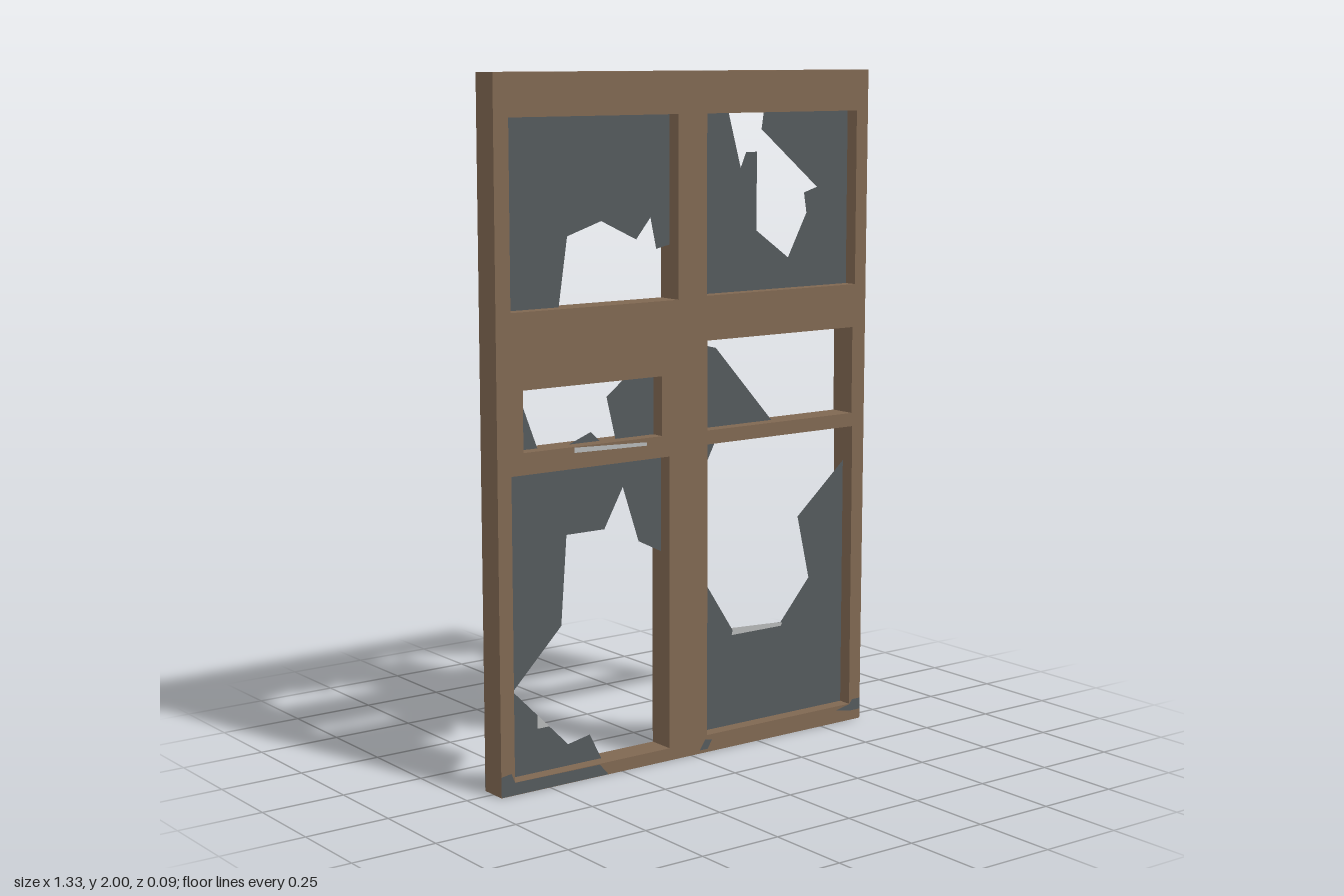
import * as THREE from 'three';

const wood = new THREE.MeshStandardMaterial({ color: 0x7f6751 });
wood.name = 'brown wood';
const glass = new THREE.MeshStandardMaterial({ color: 0x54595c, side: THREE.DoubleSide });
glass.name = 'dark glass';
const chip = new THREE.MeshStandardMaterial({ color: 0xb4b6b6, side: THREE.DoubleSide });
chip.name = 'pale chipped edge';

const DEPTH = 0.084;

const toShape = (pts) => new THREE.Shape(pts.map(([x, y]) => new THREE.Vector2(x, y)));

function flat(name, pts, material, z = 0) {
  const mesh = new THREE.Mesh(new THREE.ShapeGeometry(toShape(pts)), material);
  mesh.name = name;
  mesh.position.z = z;
  return mesh;
}

export function createModel() {
  const model = new THREE.Group();
  model.name = 'brokenWindow';

  // Wooden frame with six uneven openings
  const outline = toShape([[-0.663, 0], [0.657, 0], [0.662, 2], [-0.663, 2]]);
  const openings = [
    [-0.615, 1.355, -0.047, 1.88], [0.055, 1.36, 0.618, 1.88],
    [-0.578, 0.967, -0.106, 1.14], [0.058, 0.967, 0.61, 1.23],
    [-0.618, 0.037, -0.08, 0.905], [0.058, 0.052, 0.614, 0.926],
  ];
  for (const [x0, y0, x1, y1] of openings) {
    outline.holes.push(toShape([[x0, y0], [x0, y1], [x1, y1], [x1, y0]]));
  }
  const frame = new THREE.Mesh(
    new THREE.ExtrudeGeometry(outline, { depth: DEPTH, bevelEnabled: false }), wood);
  frame.name = 'frame';
  frame.position.z = -DEPTH / 2;
  model.add(frame);

  // Broken panes, set in the middle of the frame depth
  const shards = {
    upperRightPane: [[-0.615, 1.355], [-0.43, 1.355], [-0.4, 1.55], [-0.285, 1.587], [-0.165, 1.53],
      [-0.115, 1.59], [-0.095, 1.5], [-0.047, 1.51], [-0.047, 1.88], [-0.615, 1.88]],
    upperLeftPane: [[0.055, 1.36], [0.618, 1.36], [0.618, 1.88], [0.295, 1.88], [0.287, 1.83],
      [0.5, 1.655], [0.45, 1.64], [0.46, 1.58], [0.39, 1.45], [0.27, 1.535], [0.27, 1.765],
      [0.23, 1.765], [0.21, 1.72], [0.165, 1.88], [0.055, 1.88]],
    middleRightSliver: [[-0.578, 0.967], [-0.505, 0.967], [-0.572, 1.14], [-0.578, 1.14]],
    middleRightShard: [[-0.24, 0.967], [-0.106, 0.967], [-0.106, 1.14], [-0.205, 1.14], [-0.27, 1.09]],
    middleRightChip: [[-0.4, 0.967], [-0.295, 0.967], [-0.325, 0.995]],
    middleLeftShard: [[0.058, 0.967], [0.33, 0.967], [0.12, 1.2], [0.058, 1.215]],
    lowerRightPane: [[-0.618, 0.037], [-0.295, 0.037], [-0.335, 0.115], [-0.41, 0.1], [-0.595, 0.285],
      [-0.43, 0.45], [-0.41, 0.71], [-0.28, 0.71], [-0.215, 0.825], [-0.16, 0.66], [-0.08, 0.62],
      [-0.08, 0.905], [-0.618, 0.905]],
    lowerLeftPane: [[0.058, 0.052], [0.614, 0.052], [0.614, 0.815], [0.435, 0.66], [0.48, 0.465],
      [0.37, 0.34], [0.185, 0.345], [0.058, 0.54]],
    lowerLeftChip: [[0.058, 0.926], [0.09, 0.87], [0.12, 0.926]],
  };
  for (const [name, pts] of Object.entries(shards)) model.add(flat(name, pts, glass));

  // Pale broken edges on the glass
  for (const z of [-0.003, 0.003]) {
    model.add(flat('glassChip', [[0.18, 0.33], [0.37, 0.33], [0.375, 0.34], [0.185, 0.35]], chip, z));
    model.add(flat('glassChip', [[-0.515, 0.165], [-0.475, 0.165], [-0.515, 0.205]], chip, z));
  }

  // Worn patches on the front and back of the frame
  const patches = [
    [[-0.663, 0.001], [-0.3, 0.001], [-0.33, 0.035], [-0.618, 0.037], [-0.63, 0.065], [-0.663, 0.06]],
    [[0.56, 0.04], [0.62, 0.03], [0.657, 0.03], [0.657, 0.065], [0.625, 0.065], [0.614, 0.051]],
    [[0.03, 0.01], [0.06, 0.01], [0.075, 0.035], [0.05, 0.04]],
  ];
  for (const z of [-DEPTH / 2 - 0.001, DEPTH / 2 + 0.001]) {
    for (const pts of patches) model.add(flat('wornPatch', pts, glass, z));
  }
  model.add(flat('sillChip', [[-0.41, 0.95], [-0.16, 0.945], [-0.16, 0.955], [-0.41, 0.965]],
    chip, DEPTH / 2 + 0.001));

  return model;
}
